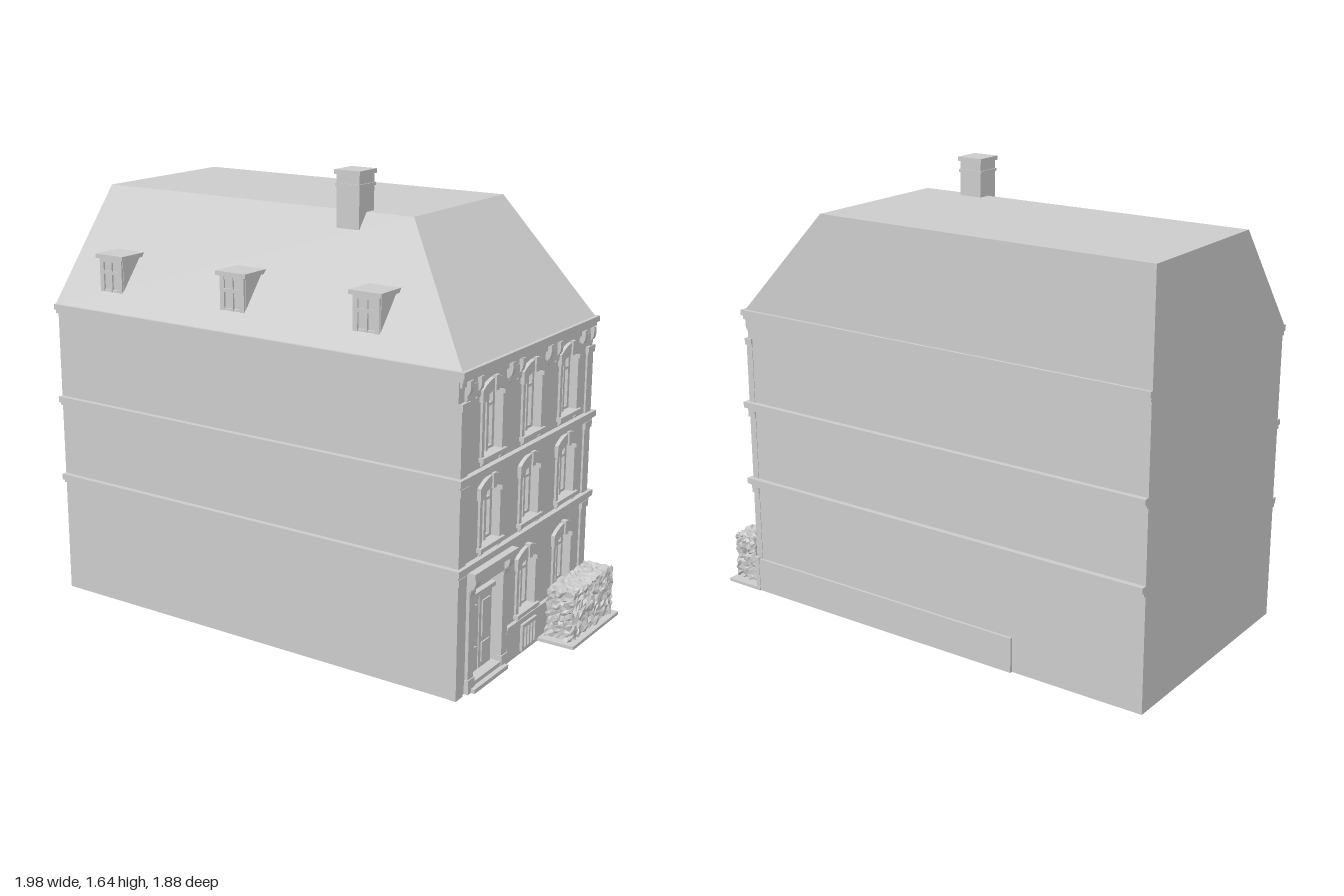
import * as THREE from 'three';
import { ConvexGeometry } from 'three/addons/geometries/ConvexGeometry.js';

const mat = new THREE.MeshStandardMaterial({ color: 0xcccccc, flatShading: true });
// Half width, half depth and the plane behind the facade layer
const W = 0.46, D = 0.843, BACK = 0.808;

function add(parent, name, geo, x = 0, y = 0, z = 0) {
  const m = new THREE.Mesh(geo, mat);
  m.name = name;
  m.position.set(x, y, z);
  parent.add(m);
  return m;
}

// Box given by its minimum and maximum corner
function box(parent, name, x0, x1, y0, y1, z0, z1) {
  return add(parent, name, new THREE.BoxGeometry(x1 - x0, y1 - y0, z1 - z0),
    (x0 + x1) / 2, (y0 + y1) / 2, (z0 + z1) / 2);
}

function extrude(shape, depth) {
  return new THREE.ExtrudeGeometry(shape, { depth, bevelEnabled: false, curveSegments: 8 });
}

// Rectangle with a shallow arched head
function arch(x, y, w, h, rise, Type = THREE.Shape) {
  const p = new Type();
  p.moveTo(x - w / 2, y);
  p.lineTo(x + w / 2, y);
  p.lineTo(x + w / 2, y + h - rise);
  p.quadraticCurveTo(x, y + h + rise, x - w / 2, y + h - rise);
  p.lineTo(x - w / 2, y);
  return p;
}

// Side-profile scroll bracket, projecting in +z
function bracket(parent, name, x, yTop, z, w, h, d) {
  const s = new THREE.Shape();
  s.moveTo(0, 0);
  s.lineTo(-d, 0);
  s.lineTo(-d, -h * 0.3);
  s.quadraticCurveTo(-d * 0.9, -h * 0.6, -d * 0.45, -h * 0.65);
  s.quadraticCurveTo(-d * 0.5, -h, 0, -h);
  s.closePath();
  const g = extrude(s, w);
  g.translate(0, 0, -w / 2);
  g.rotateY(Math.PI / 2);
  return add(parent, name, g, x, yTop, z);
}

const WIN = 0.118, RISE = 0.014;

function windowUnit(parent, x, y, h) {
  const g = new THREE.Group();
  g.name = 'window';
  g.position.set(x, y, 0);
  parent.add(g);
  // Casement frame: two tall lights with two small ones above
  const frame = arch(0, 0, WIN, h, RISE);
  const split = h * 0.68;
  for (const s of [-1, 1]) {
    frame.holes.push(arch(s * 0.027, 0.012, 0.036, split - 0.012, 0, THREE.Path));
    frame.holes.push(arch(s * 0.027, split + 0.01, 0.036, h - split - 0.03, 0.004, THREE.Path));
  }
  add(g, 'casement', extrude(frame, 0.012), 0, 0, BACK);
  box(g, 'mullion', -0.006, 0.006, 0, h - 0.012, BACK, BACK + 0.02);
  // Raised surround
  const trim = arch(0, 0, WIN + 0.03, h + 0.014, RISE);
  trim.holes.push(arch(0, -0.0001, WIN, h, RISE, THREE.Path));
  for (const s of [-1, 1])
    box(g, 'jamb', s * 0.067 - 0.008, s * 0.067 + 0.008, 0, h - RISE, D - 0.002, D + 0.008);
  // Arched hood with ears and keystone
  const hood = new THREE.Shape();
  hood.moveTo(-0.083, h - 0.03);
  hood.lineTo(-0.059, h - 0.03);
  hood.lineTo(-0.059, h - RISE);
  hood.quadraticCurveTo(0, h + RISE, 0.059, h - RISE);
  hood.lineTo(0.059, h - 0.03);
  hood.lineTo(0.083, h - 0.03);
  hood.lineTo(0.083, h + 0.012);
  hood.quadraticCurveTo(0, h + 0.068, -0.083, h + 0.012);
  hood.closePath();
  add(g, 'hood', extrude(hood, 0.016), 0, 0, D - 0.002);
  box(g, 'keystone', -0.011, 0.011, h - 0.004, h + 0.046, D, D + 0.02);
  // Sill on two small brackets
  box(g, 'sill', -0.08, 0.08, -0.012, 0.002, BACK, D + 0.018);
  for (const s of [-1, 1]) bracket(g, 'sillBracket', s * 0.06, -0.012, D, 0.018, 0.018, 0.012);
}

function door(parent, x) {
  const g = new THREE.Group();
  g.name = 'entrance';
  g.position.x = x;
  parent.add(g);
  for (const s of [-1, 1]) {
    box(g, 'doorLeaf', s * 0.044 - 0.041, s * 0.044 + 0.041, 0.03, 0.295, BACK, BACK + 0.01);
    for (const [y0, y1] of [[0.05, 0.12], [0.14, 0.27]])
      box(g, 'doorPanel', s * 0.044 - 0.026, s * 0.044 + 0.026, y0, y1, BACK, BACK + 0.015);
    box(g, 'doorPilaster', s * 0.113 - 0.018, s * 0.113 + 0.018, 0, 0.36, D - 0.01, D + 0.012);
    box(g, 'pilasterBase', s * 0.113 - 0.021, s * 0.113 + 0.021, 0, 0.05, D - 0.01, D + 0.016);
    bracket(g, 'canopyBracket', s * 0.113, 0.42, D, 0.034, 0.085, 0.034);
  }
  box(g, 'doorLintel', -0.095, 0.095, 0.3, 0.315, BACK, BACK + 0.02);
  box(g, 'entablature', -0.13, 0.13, 0.36, 0.4, D - 0.01, D + 0.014);
  box(g, 'canopy', -0.145, 0.145, 0.41, 0.43, D - 0.01, D + 0.04);
  box(g, 'lowerStep', -0.115, 0.115, 0, 0.015, BACK, D + 0.03);
  box(g, 'upperStep', -0.095, 0.095, 0.015, 0.03, BACK, D + 0.012);
}

function dormer(parent, z) {
  const g = new THREE.Group();
  g.name = 'dormer';
  g.position.z = z;
  parent.add(g);
  box(g, 'dormerBody', -0.415, -0.29, 1.16, 1.285, -0.053, 0.053);
  box(g, 'dormerRoof', -0.43, -0.3, 1.285, 1.3, -0.063, 0.063);
  // Window bars on the outer face
  for (const s of [-1, 0, 1]) {
    const c = s * 0.042, b = s ? 0.009 : 0.005;
    box(g, 'dormerUpright', -0.422, -0.413, 1.16, 1.285, c - b, c + b);
  }
  for (const y of [1.167, 1.235, 1.278])
    box(g, 'dormerRail', -0.421, -0.413, y - 0.006, y + 0.006, -0.05, 0.05);
}

function hedge(parent) {
  const g = new THREE.BoxGeometry(0.325, 0.175, 0.1, 26, 14, 8);
  const p = g.attributes.position;
  const noise = (a, b, c, k) => {
    const s = Math.sin(Math.round(a * 999) * 12.9 + Math.round(b * 999) * 78.2 + Math.round(c * 999) * 37.7 + k) * 43758.5;
    return s - Math.floor(s) - 0.5;
  };
  for (let i = 0; i < p.count; i++) {
    const x = p.getX(i), y = p.getY(i), z = p.getZ(i);
    p.setXYZ(i, x + 0.013 * noise(x, y, z, 1), y + 0.013 * noise(x, y, z, 2), z + 0.013 * noise(x, y, z, 3));
  }
  g.computeVertexNormals();
  add(parent, 'hedge', g, 0.285, 0.107, 0.922);
  box(parent, 'hedgeBed', 0.105, 0.475, 0, 0.012, D - 0.01, 0.99);
}

export function createModel() {
  const root = new THREE.Group();
  root.name = 'townHouse';
  const house = new THREE.Group();
  house.name = 'house';
  house.rotation.y = 0.798;
  house.position.x = -0.043;
  root.add(house);

  // Main walls and hipped roof with two vertical party walls
  box(house, 'walls', -W, W, 0, 1.1, -D, BACK);
  const v = (x, y, z) => new THREE.Vector3(x, y, z);
  add(house, 'roof', new ConvexGeometry([
    v(-0.475, 1.1, 0.858), v(W - 0.004, 1.1, 0.858), v(W - 0.004, 1.1, -D), v(-0.475, 1.1, -D),
    v(-0.15, 1.5, 0.477), v(W - 0.004, 1.5, 0.477), v(W - 0.004, 1.5, -D), v(-0.15, 1.5, -D)]));

  // Facade layer pierced by the windows and the door
  const cols = [-0.258, 0.013, 0.283], doorX = -0.264;
  const floors = [[0.155, 0.195], [0.485, 0.195], [0.79, 0.215]];
  const facade = arch(0, 0, 2 * W, 1.08, 0);
  facade.holes.push(arch(doorX, 0.005, 0.19, 0.35, 0, THREE.Path));
  floors.forEach(([y, h], f) => cols.forEach((x, c) => {
    if (f === 0 && c === 0) return;
    facade.holes.push(arch(x, y, WIN, h, RISE, THREE.Path));
    windowUnit(house, x, y, h);
  }));
  add(house, 'facade', extrude(facade, D - BACK), 0, 0, BACK);
  door(house, doorX);

  // String courses around three sides
  for (const y of [0.427, 0.727]) {
    box(house, 'stringCourse', -W - 0.02, W + 0.02, y + 0.008, y + 0.03, -D, D + 0.02);
    box(house, 'stringMoulding', -W - 0.01, W + 0.01, y - 0.004, y + 0.008, -D, D + 0.01);
  }

  // Eaves cornice, frieze and brackets
  box(house, 'cornice', -W - 0.022, W + 0.008, 1.085, 1.105, -D, D + 0.024);
  box(house, 'corniceMoulding', -W - 0.012, W + 0.004, 1.07, 1.085, -D, D + 0.016);
  box(house, 'frieze', -W - 0.006, W, 1.05, 1.07, D - 0.14, D + 0.008);
  box(house, 'friezeReturn', -W - 0.012, -W, 1.0, 1.07, D - 0.13, D);
  for (const x of [-0.393, -0.122, 0.148, 0.405]) {
    box(house, 'friezePanel', x - 0.04, x + 0.04, 1.005, 1.05, D - 0.002, D + 0.01);
    for (const s of [-1, 1]) bracket(house, 'eavesBracket', x + s * 0.034, 1.07, D, 0.018, 0.075, 0.022);
  }

  // Corner pilasters on each storey
  for (const x of [-W + 0.02, W - 0.02])
    for (const [y0, y1] of [[0, 0.423], [0.457, 0.723], [0.757, 1.0]]) {
      box(house, 'cornerPilaster', x - 0.022, x + 0.022, y0, y1, D - 0.02, D + 0.007);
      box(house, 'pilasterCap', x - 0.026, x + 0.026, y1 - 0.025, y1, D - 0.02, D + 0.012);
    }

  // Plinth with a barred basement window
  box(house, 'frontPlinth', -0.125, W + 0.012, 0, 0.125, D - 0.01, D + 0.008);
  box(house, 'plinthLedge', -0.13, W + 0.014, 0.125, 0.135, D - 0.01, D + 0.014);
  box(house, 'sidePlinth', W - 0.01, W + 0.01, 0, 0.13, -0.33, D);
  const grille = arch(0.025, 0.012, 0.105, 0.098, 0);
  for (let i = 0; i < 4; i++)
    grille.holes.push(arch(-0.008 + i * 0.022, 0.024, 0.014, 0.072, 0, THREE.Path));
  add(house, 'basementWindow', extrude(grille, 0.012), 0, 0, D + 0.006);

  for (const z of [-0.614, -0.07, 0.47]) dormer(house, z);

  // Chimney
  const stack = (name, r, y0, y1) => box(house, name, -0.15 - r, -0.15 + r, y0, y1, 0.247 - r, 0.247 + r);
  stack('chimney', 0.045, 1.44, 1.635);
  stack('chimneyBand', 0.049, 1.585, 1.595);
  stack('chimneyCap', 0.051, 1.625, 1.64);

  hedge(house);
  return root;
}
